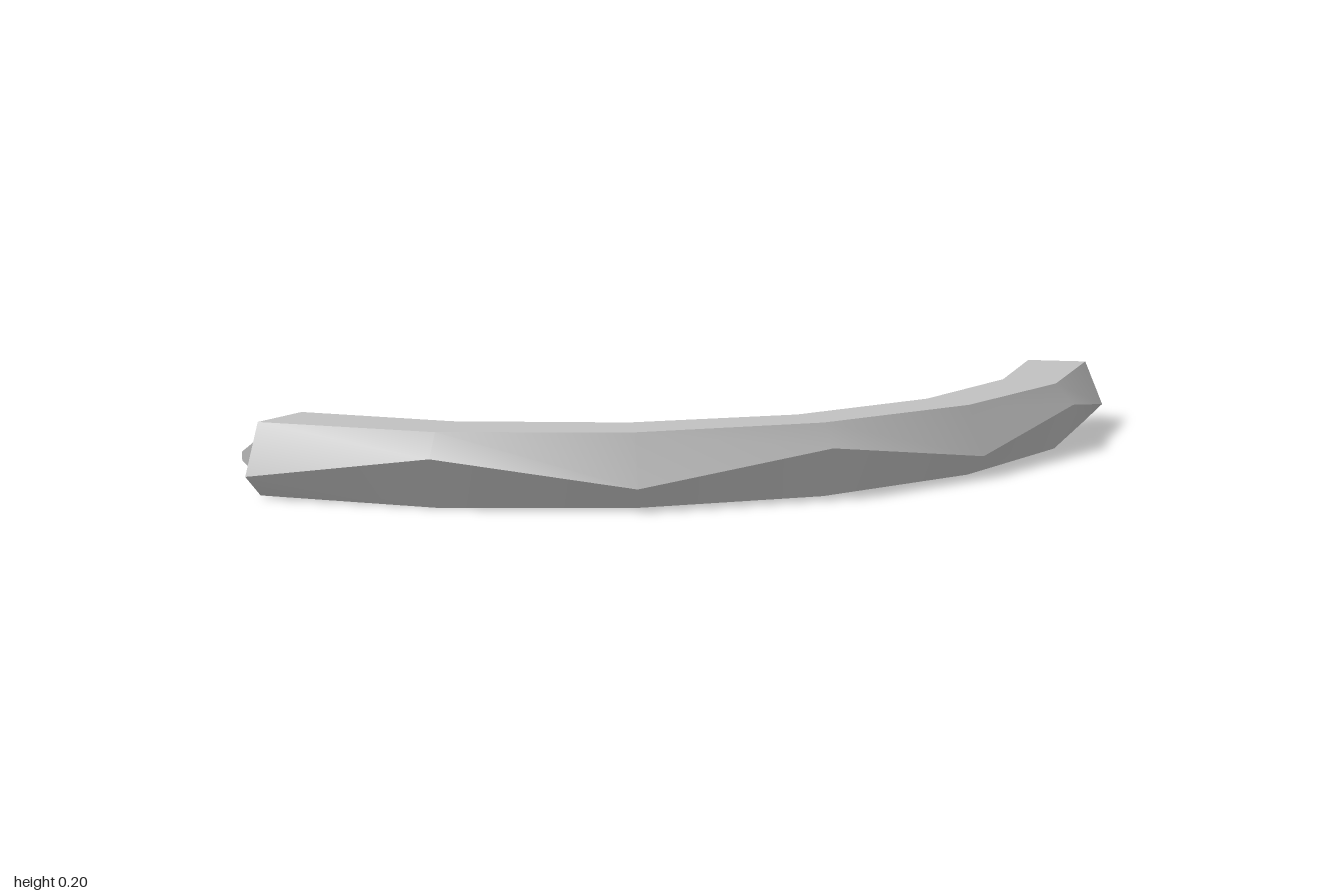
import * as THREE from 'three';
import { toCreasedNormals } from 'three/addons/utils/BufferGeometryUtils.js';

const HEIGHT = 0.197, LOW = 0.06, HIGH = 0.137;

// Half of the bend as [x, z] points: inner ridge, inner edge, outer edge, outer ridge
const half = [
  [[-0.914, 0.715], [-0.92, 0.76], [-0.944, 0.94], [-0.952, 0.997]],
  [[-0.468, 0.72], [-0.466, 0.763], [-0.432, 0.928], [-0.422, 0.983]],
  [[-0.04, 0.592], [-0.02, 0.63], [0.05, 0.765], [0.077, 0.815]],
  [[0.335, 0.335], [0.362, 0.362], [0.464, 0.464], [0.502, 0.502]],
];
// The other half mirrors across the diagonal x = z
const stations = [...half, ...half.slice(0, 3).reverse().map((s) => s.map(([x, z]) => [z, x]))];

// Six-sided tube whose side ridges zigzag up and down from station to station
function bendGeometry() {
  const positions = [], index = [];
  stations.forEach(([ir, ie, oe, or], i) => {
    const innerY = i % 2 ? LOW : HIGH, outerY = i % 2 ? HIGH : LOW;
    const ring = [[ir, innerY], [ie, HEIGHT], [oe, HEIGHT], [or, outerY], [oe, 0], [ie, 0]];
    ring.forEach(([p, y]) => positions.push(p[0], y, p[1]));
    if (i === stations.length - 1) return;
    for (let k = 0; k < 6; k++) {
      const a = i * 6 + k, b = i * 6 + (k + 1) % 6;
      index.push(a, b, b + 6, a, b + 6, a + 6);
    }
  });
  const geometry = new THREE.BufferGeometry();
  geometry.setAttribute('position', new THREE.Float32BufferAttribute(positions, 3));
  geometry.setIndex(index);
  return toCreasedNormals(geometry, 0.6);
}

// Wedge-shaped lug with a vertical pin hole, pointing along +z
function lugGeometry() {
  const length = 0.06, w = 0.026;
  const plan = new THREE.Shape([[-w, -0.002], [w, -0.002], [w, length], [-w, length]]
    .map(([x, y]) => new THREE.Vector2(x, y)));
  const hole = new THREE.Path();
  hole.absarc(0, 0.032, 0.013, 0, Math.PI * 2, true);
  plan.holes.push(hole);
  const geometry = new THREE.ExtrudeGeometry(plan, { depth: 1, bevelEnabled: false, curveSegments: 8 });
  geometry.rotateX(Math.PI / 2);
  const p = geometry.attributes.position;
  for (let i = 0; i < p.count; i++) {
    const halfHeight = 0.055 - 0.043 * p.getZ(i) / length;
    p.setY(i, 0.1 + (p.getY(i) + 0.5) * 2 * halfHeight);
  }
  geometry.computeVertexNormals();
  return geometry;
}

// Open box seen from inside
function pocketGeometry(width, height, depth) {
  const geometry = new THREE.BoxGeometry(width, height, depth);
  const faces = Array.from(geometry.index.array);
  faces.splice(24, 6);
  geometry.setIndex(faces);
  geometry.clearGroups();
  geometry.scale(-1, 1, 1);
  geometry.computeVertexNormals();
  return geometry;
}

// Closed end with a socket and a lug; side is +1 where local +x is the outer side
function makeEnd(name, station, side, material) {
  const [ir, ie, oe, or] = station;
  const centre = [(ir[0] + or[0]) / 2, (ir[1] + or[1]) / 2];
  const across = [side * (or[0] - ir[0]), side * (or[1] - ir[1])];
  const along = ([x, z]) => Math.hypot(x - centre[0], z - centre[1]);
  const v = (u, y) => new THREE.Vector2(u * side, y);

  const end = new THREE.Group();
  end.name = name;
  end.position.set(centre[0], 0, centre[1]);
  end.rotation.y = Math.atan2(-across[1], across[0]);
  const add = (part, geometry, x = 0, y = 0, z = 0) => {
    const mesh = new THREE.Mesh(geometry, material);
    mesh.name = part;
    mesh.position.set(x, y, z);
    end.add(mesh);
  };

  const face = new THREE.Shape([
    v(-along(ir), HIGH), v(-along(ie), HEIGHT), v(along(oe), HEIGHT),
    v(along(or), LOW), v(along(oe), 0), v(-along(ie), 0),
  ]);
  const su = -0.045, sw = 0.06, sh = 0.12, sd = 0.065;
  face.holes.push(new THREE.Path([
    v(su - sw / 2, 0.1 - sh / 2), v(su - sw / 2, 0.1 + sh / 2),
    v(su + sw / 2, 0.1 + sh / 2), v(su + sw / 2, 0.1 - sh / 2),
  ]));
  add('endFace', new THREE.ShapeGeometry(face));
  add('socket', pocketGeometry(sw, sh, sd), su * side, 0.1, -sd / 2);
  add('lug', lugGeometry(), 0.055 * side);
  return end;
}

export function createModel() {
  const grey = new THREE.MeshStandardMaterial({ color: 0xc0c0c0 });
  grey.name = 'grey';

  const model = new THREE.Group();
  model.name = 'curvedSegment';
  const bend = new THREE.Mesh(bendGeometry(), grey);
  bend.name = 'bend';
  model.add(bend);
  model.add(makeEnd('rightEnd', stations[0], 1, grey));
  model.add(makeEnd('backEnd', stations[6], -1, grey));
  return model;
}
